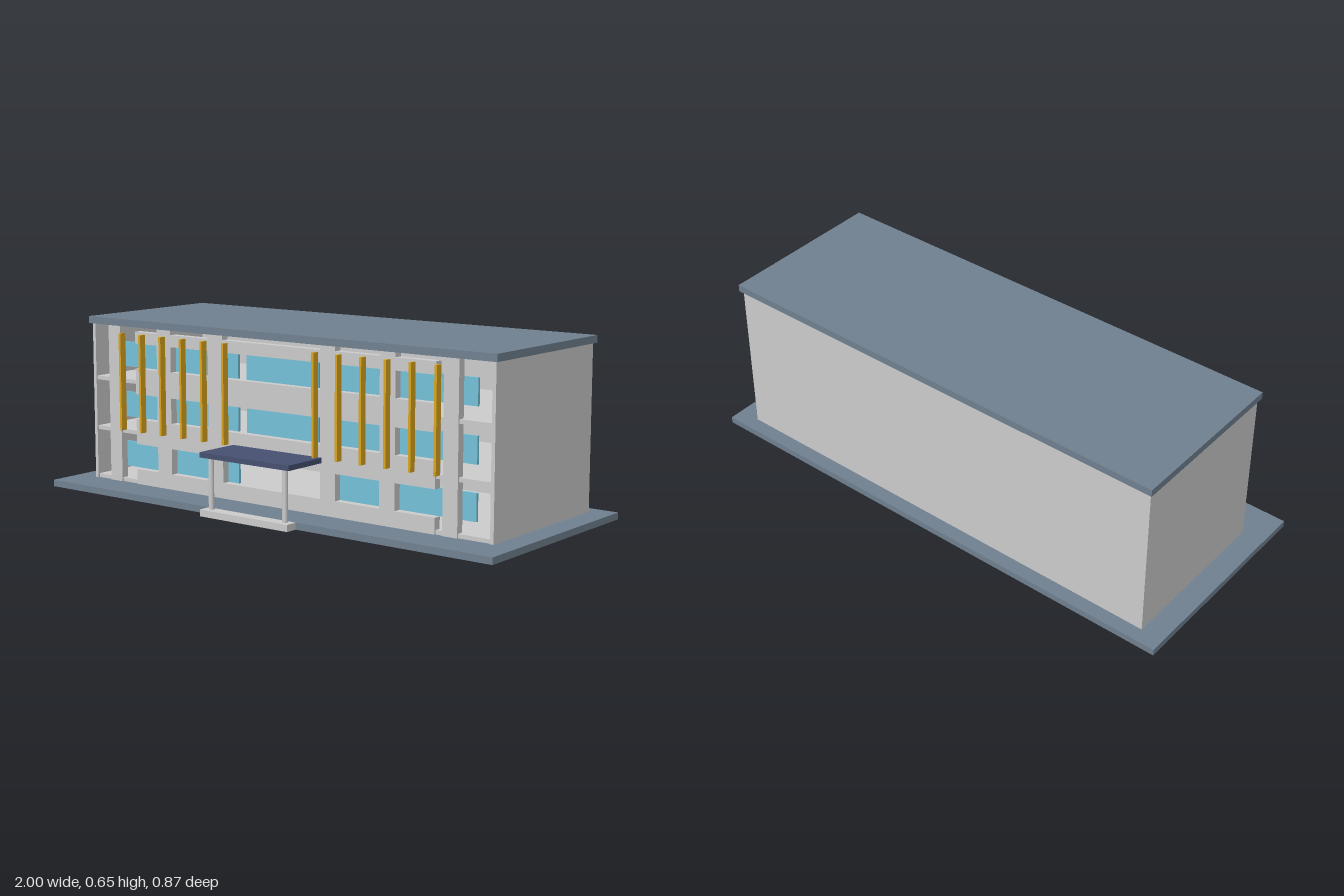
import * as THREE from 'three';

const mat = (color) => new THREE.MeshStandardMaterial({ color });

export function createModel() {
  const model = new THREE.Group();
  const grey = mat(0xcccccc), slate = mat(0x708090), navy = mat(0x465070);
  const glass = mat(0x74c0d8), gold = mat(0xdaa520);

  // Box given by its extents on each axis
  const box = (name, material, [x0, x1], [y0, y1], [z0, z1], parent = model) => {
    const mesh = new THREE.Mesh(new THREE.BoxGeometry(x1 - x0, y1 - y0, z1 - z0), material);
    mesh.position.set((x0 + x1) / 2, (y0 + y1) / 2, (z0 + z1) / 2);
    mesh.name = name;
    parent.add(mesh);
    return mesh;
  };
  const group = (name) => {
    const g = new THREE.Group();
    g.name = name;
    model.add(g);
    return g;
  };

  // Ground slab, entrance step and overhanging roof
  box('groundSlab', slate, [-1, 1], [0, 0.025], [-0.437, 0.39]);
  box('entranceStep', grey, [-0.2, 0.2], [0, 0.025], [0.39, 0.437]);
  box('roof', slate, [-0.924, 0.922], [0.628, 0.655], [-0.395, 0.257]);

  // Hollow shell: back, sides and floors
  const wallY = [0.025, 0.628], frontZ = [0.216, 0.246];
  box('backWall', grey, [-0.914, 0.912], wallY, [-0.383, -0.368]);
  box('rightWall', grey, [-0.914, -0.9], wallY, [-0.368, 0.246]);
  box('leftWall', grey, [0.898, 0.912], wallY, [-0.368, 0.246]);
  const floors = group('floors');
  for (const y of [0.025, 0.215, 0.41])
    box('floor', grey, [-0.9, 0.898], [y, y + 0.015], [-0.368, 0.24], floors);

  // Front facade: full-height piers, with spandrels between the window rows
  const facade = group('frontWall');
  const piers = [[-0.83, -0.77], [-0.58, -0.51], [-0.325, -0.255],
    [0.195, 0.26], [0.45, 0.515], [0.71, 0.77]];
  for (const x of piers) box('pier', grey, x, wallY, frontZ, facade);
  const bays = [[-0.69, -0.58], [-0.51, -0.325], [-0.255, 0.195], [0.26, 0.45], [0.515, 0.68]];
  const spandrels = [[0.025, 0.083], [0.18, 0.276], [0.372, 0.47], [0.565, 0.61]];
  for (const x of bays)
    for (const y of spandrels) box('spandrel', grey, x, y, frontZ, facade);

  // Window panes just behind the facade; the middle of the ground floor is open
  const windows = group('windows');
  const panes = [[-0.8, -0.58], [-0.51, -0.325], [-0.255, -0.205],
    [-0.165, 0.165], [0.26, 0.45], [0.515, 0.825]];
  const rows = [[0.083, 0.18], [0.276, 0.372], [0.47, 0.565]];
  rows.forEach((y, floor) => panes.forEach((x, i) => {
    if (floor > 0 || i !== 3) box('windowPane', glass, x, y, [0.206, 0.216], windows);
  }));

  // Vertical sun fins, six on each side of the entrance
  const fins = group('sunFins');
  for (const start of [-0.747, 0.181])
    for (let i = 0; i < 6; i++) {
      const x = start + i * 0.1027;
      box('sunFin', gold, [x - 0.005, x + 0.005], [0.23, 0.602], [0.246, 0.272], fins);
    }

  // Entrance canopy on two round columns
  box('canopy', navy, [-0.206, 0.202], [0.212, 0.231], [0.246, 0.43]);
  for (const x of [-0.17, 0.168]) {
    const column = new THREE.Mesh(new THREE.CylinderGeometry(0.01, 0.01, 0.192, 16), grey);
    column.position.set(x, 0.116, 0.408);
    column.name = 'canopyColumn';
    model.add(column);
  }
  return model;
}
